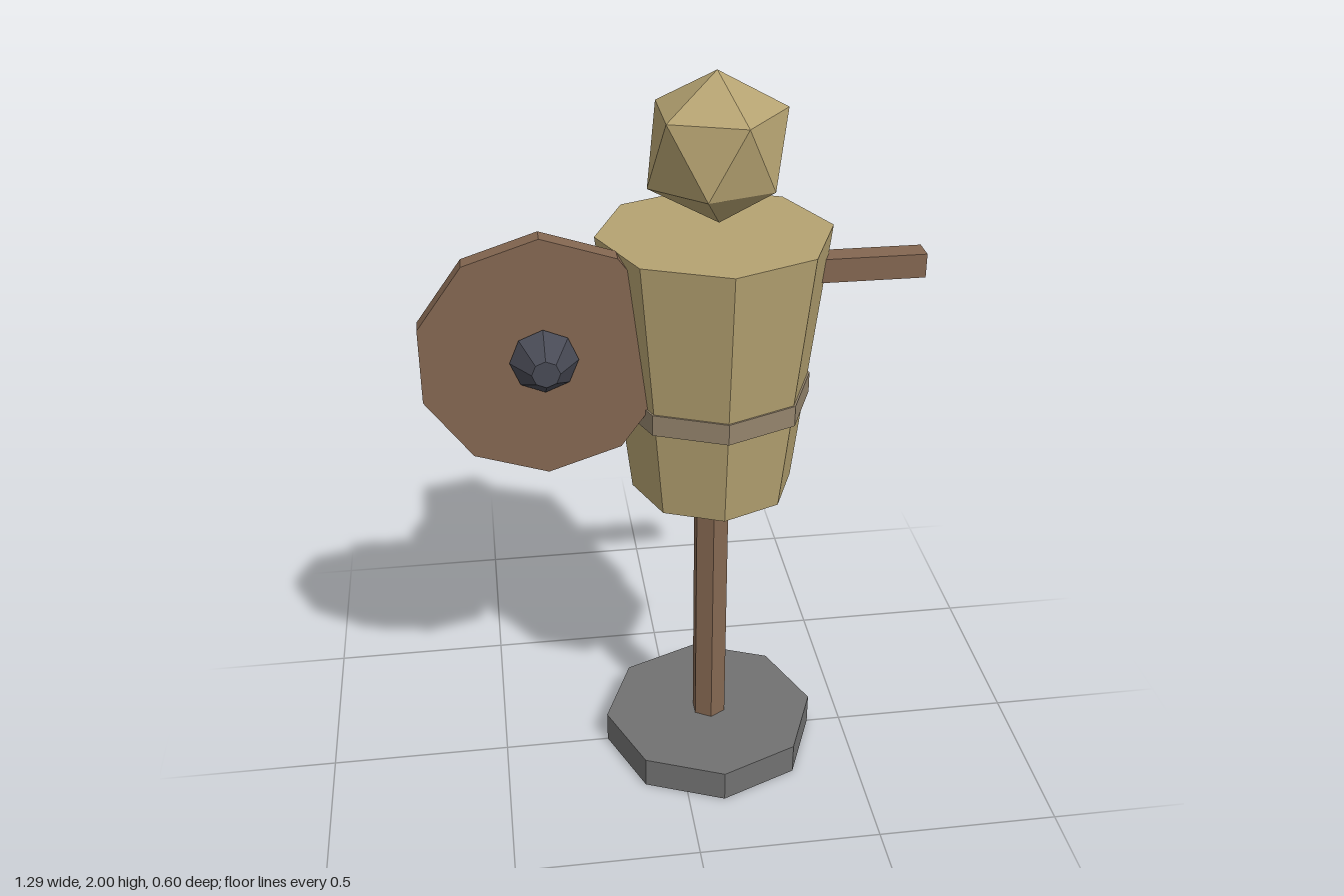
import * as THREE from 'three';
import { ConvexGeometry } from 'three/addons/geometries/ConvexGeometry.js';

const material = (name, color) => {
  const m = new THREE.MeshStandardMaterial({ color, flatShading: true });
  m.name = name;
  return m;
};

export function createModel() {
  const burlap = material('burlap', 0xb5a271);
  const wood = material('wood', 0x846751);
  const leather = material('leather', 0x94846c);
  const stone = material('stone', 0x717171);
  const iron = material('iron', 0x484a55);

  const model = new THREE.Group();
  model.name = 'trainingDummy';
  const axis = 0.1; // the post stands off centre to balance the shield

  const add = (name, geometry, mat, x, y, z) => {
    const mesh = new THREE.Mesh(geometry, mat);
    mesh.name = name;
    mesh.position.set(x, y, z);
    model.add(mesh);
    return mesh;
  };

  // Upright prism or frustum around the post, from y0 to y1
  const upright = (name, rTop, rBottom, y0, y1, sides, mat) =>
    add(name, new THREE.CylinderGeometry(rTop, rBottom, y1 - y0, sides), mat, axis, (y0 + y1) / 2, 0);

  // Prism or frustum facing the front, from z0 to z1
  const facing = (name, rFront, rBack, z0, z1, sides, mat) => {
    const g = new THREE.CylinderGeometry(rFront, rBack, z1 - z0, sides).rotateX(Math.PI / 2);
    return add(name, g, mat, -0.345, 1.34, (z0 + z1) / 2);
  };

  // Stand, post and padded body
  upright('base', 0.302, 0.302, 0, 0.09, 8, stone);
  upright('post', 0.05, 0.05, 0.09, 0.9, 6, wood);
  upright('torso', 0.302, 0.216, 0.875, 1.595, 8, burlap);
  upright('belt', 0.258, 0.258, 1.126, 1.183, 8, leather);

  // Crossbar forming both arms
  add('arms', new THREE.BoxGeometry(1.08, 0.064, 0.064), wood, 0.102, 1.483, 0);

  // Shield and its boss
  facing('shield', 0.317, 0.317, 0.1, 0.15, 10, wood);
  facing('shieldBoss', 0.035, 0.085, 0.157, 0.23, 8, iron);

  // Head: a slightly uneven twenty-sided lump, points relative to its centre
  const headPoints = [
    [0, 0.192, 0],
    [0.177, 0.095, 0], [0.055, 0.09, 0.147], [-0.135, 0.095, 0.097], [-0.136, 0.095, -0.1], [0.056, 0.088, -0.152],
    [-0.17, -0.095, 0], [-0.041, -0.086, 0.146], [0.132, -0.086, 0.093], [0.13, -0.086, -0.094], [-0.046, -0.086, -0.163],
    [0.01, -0.192, 0],
  ].map((p) => new THREE.Vector3(...p));
  add('head', new ConvexGeometry(headPoints), burlap, axis, 1.808, 0);

  return model;
}
